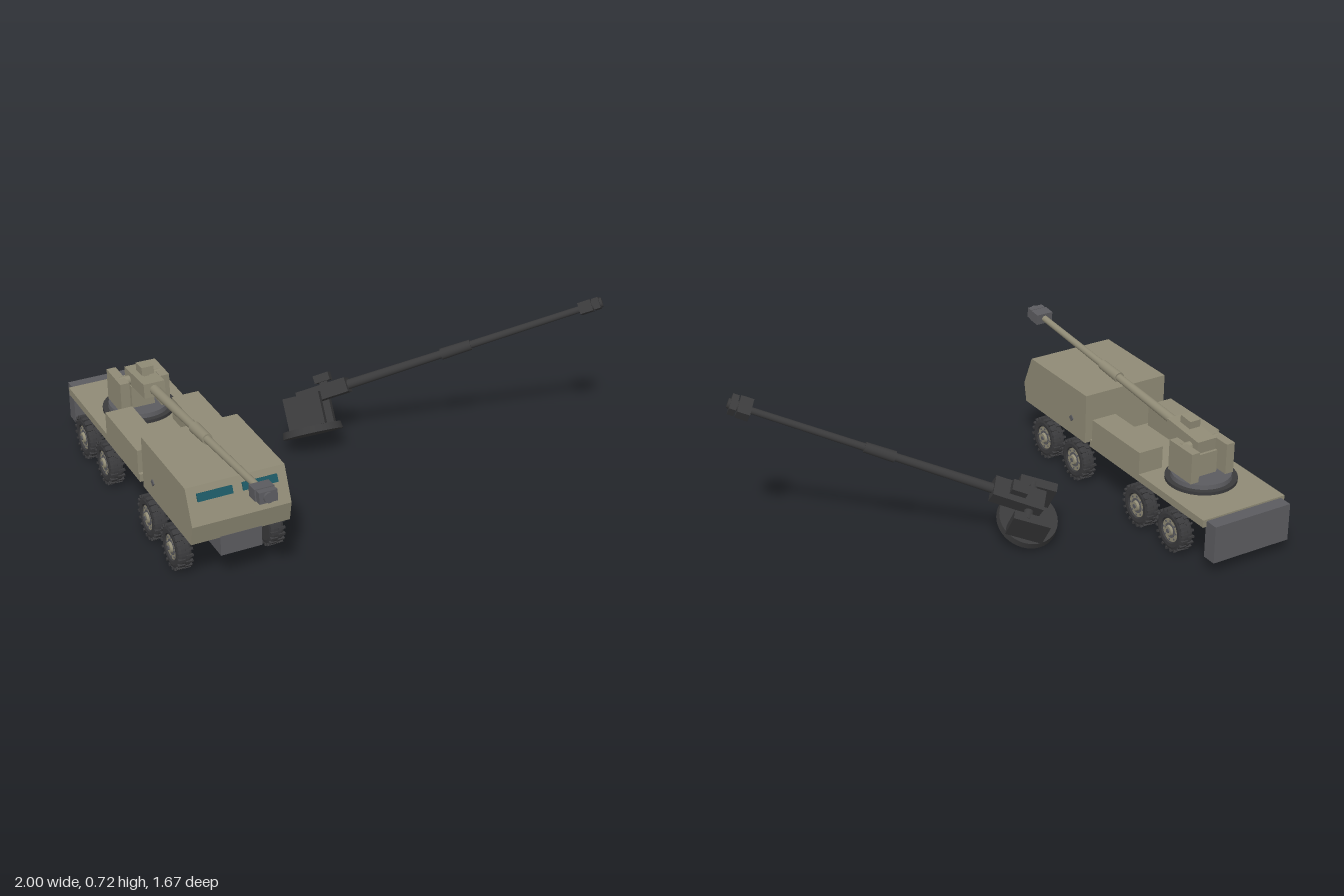
import * as THREE from 'three';

const mat = (name, color) => Object.assign(new THREE.MeshStandardMaterial({ color }), { name });

export function createModel() {
  const khaki = mat('khaki paint', 0x908b76);
  const grey = mat('chassis grey', 0x5c5c60);
  const rubber = mat('tyre rubber', 0x3a3a3c);
  const burnt = mat('burnt metal', 0x3a3a3b);
  const glass = mat('window glass', 0x1c5863);

  const add = (parent, name, geo, material, x = 0, y = 0, z = 0) => {
    const m = new THREE.Mesh(geo, material);
    m.name = name;
    m.position.set(x, y, z);
    parent.add(m);
    return m;
  };
  const group = (parent, name, x = 0, y = 0, z = 0) => {
    const g = new THREE.Group();
    g.name = name;
    g.position.set(x, y, z);
    if (parent) parent.add(g);
    return g;
  };
  const box = (w, h, d) => new THREE.BoxGeometry(w, h, d);
  const disc = (r, h, r2 = r) => new THREE.CylinderGeometry(r2, r, h, 40);
  // Round bar along z from z0 to z1
  const bar = (r0, r1, z0, z1) =>
    new THREE.CylinderGeometry(r1, r0, z1 - z0, 20).rotateX(Math.PI / 2).translate(0, 0, (z0 + z1) / 2);

  // Gun turret, origin at the underside of its ring
  function turret(parent, name, body, ring, brake) {
    const t = group(parent, name);
    add(t, 'turretRing', disc(0.131, 0.03, 0.126), ring, 0, 0.015, 0);
    for (const s of [-1, 1]) add(t, 'cheek', box(0.04, 0.137, 0.158), body, s * 0.088, 0.098, 0.006);
    add(t, 'cradlePost', box(0.1, 0.1, 0.09), body, 0, 0.08, 0.01);
    const gun = group(t, 'gun', 0, 0.163, 0.085);
    gun.rotation.x = -0.08;
    add(gun, 'trunnion', new THREE.CylinderGeometry(0.02, 0.02, 0.18, 16).rotateZ(Math.PI / 2), body, 0, -0.01, -0.06);
    add(gun, 'breech', box(0.092, 0.062, 0.22), body);
    add(gun, 'sightStem', box(0.025, 0.02, 0.035), body, 0, 0.038, 0.012);
    add(gun, 'sight', box(0.052, 0.034, 0.068), body, 0, 0.06, 0.012);
    add(gun, 'rearBarrel', bar(0.021, 0.017, 0.1, 0.54), body);
    add(gun, 'boreEvacuator', bar(0.024, 0.022, 0.53, 0.66), body);
    add(gun, 'frontBarrel', bar(0.016, 0.014, 0.65, 1.16), body);
    add(gun, 'brakeRear', box(0.08, 0.048, 0.054), brake, 0, 0, 1.165);
    add(gun, 'brakeCore', bar(0.021, 0.021, 1.18, 1.235), brake);
    add(gun, 'brakeFront', box(0.074, 0.046, 0.028), brake, 0, 0, 1.211);
    return t;
  }

  // Wheel with its outer face toward +x
  const tyreProfile = [[0.0001, -0.03], [0.07, -0.03], [0.084, -0.026], [0.089, -0.016], [0.089, 0.016],
    [0.084, 0.026], [0.072, 0.03], [0.056, 0.029], [0.052, 0.018], [0.0001, 0.018]]
    .map(([r, h]) => new THREE.Vector2(r, h));
  function wheel(parent, side, z) {
    const w = group(parent, 'wheel', side * 0.194, 0.095, z);
    if (side < 0) w.rotation.y = Math.PI;
    const along = (g) => g.rotateZ(-Math.PI / 2);
    const tyre = new THREE.LatheGeometry(tyreProfile, 36).toNonIndexed();
    tyre.computeVertexNormals();
    add(w, 'tyre', along(tyre), rubber);
    add(w, 'rim', along(disc(0.051, 0.006)), khaki, 0.02);
    add(w, 'rimRecess', along(disc(0.033, 0.002)), grey, 0.0235);
    add(w, 'hub', along(disc(0.024, 0.012, 0.02)), khaki, 0.028);
    add(w, 'hubCap', along(disc(0.009, 0.006)), grey, 0.035);
    // Rim bolts
    for (let i = 0; i < 8; i++) {
      const a = (i / 8) * Math.PI * 2;
      add(w, 'bolt', box(0.004, 0.007, 0.007), grey, 0.024, 0.042 * Math.cos(a), 0.042 * Math.sin(a));
    }
    // Staggered tread lugs
    for (let i = 0; i < 40; i++) {
      const a = (i / 40) * Math.PI * 2;
      const lug = add(w, 'treadLug', box(0.03, 0.012, 0.009), rubber,
        i % 2 ? 0.016 : -0.016, 0.088 * Math.cos(a), 0.088 * Math.sin(a));
      lug.rotation.x = a;
    }
  }

  const root = group(null, 'gunTruckAndWreck');
  const truck = group(root, 'truck', -0.775);

  // Chassis, deck and stowage
  add(truck, 'chassis', box(0.172, 0.085, 1.34), grey, 0, 0.162, -0.11);
  add(truck, 'deck', box(0.41, 0.033, 0.82), khaki, 0, 0.2175, -0.37);
  add(truck, 'rearSpade', box(0.375, 0.167, 0.065), grey, 0, 0.1435, -0.8075);
  for (const s of [-1, 1]) {
    add(truck, 'sideLocker', box(0.118, 0.1, 0.352), khaki, s * 0.146, 0.284, -0.152);
    for (const z of [0.38, 0.14, -0.34, -0.58]) wheel(truck, s, z);
  }

  // Cab from its side profile
  const profile = [[0.077, 0.2], [0.558, 0.2], [0.576, 0.285], [0.517, 0.425], [0.077, 0.425]];
  const cabGeo = new THREE.ExtrudeGeometry(
    new THREE.Shape(profile.map(([z, y]) => new THREE.Vector2(z, y))), { depth: 0.41, bevelEnabled: false });
  cabGeo.translate(0, 0, -0.205).rotateY(-Math.PI / 2);
  add(truck, 'cab', cabGeo, khaki);
  for (const s of [-1, 1]) {
    const pane = add(truck, 'windscreen', box(0.145, 0.032, 0.009), glass, s * 0.093, 0.385, 0.537);
    pane.rotation.x = -Math.atan2(0.059, 0.14);
    const handle = add(truck, 'sideHatch', box(0.006, 0.022, 0.022), grey, s * 0.206, 0.275, 0.185);
    handle.rotation.x = Math.PI / 4;
  }

  // Mounted turret
  add(truck, 'baseRing', disc(0.152, 0.014), rubber, 0, 0.241, -0.485);
  turret(truck, 'turret', khaki, grey, grey).position.set(0, 0.237, -0.485);

  // Burnt turret lying tilted beside the truck
  const wreck = turret(root, 'wreckedTurret', burnt, burnt, burnt);
  const up = new THREE.Vector3(0.04, 0.83, -0.556).normalize();
  const right = new THREE.Vector3().crossVectors(up, new THREE.Vector3(0.814, 0.287, 0.5)).normalize();
  const forward = new THREE.Vector3().crossVectors(right, up);
  wreck.quaternion.setFromRotationMatrix(new THREE.Matrix4().makeBasis(right, up, forward));
  wreck.position.set(-0.108, 0.08, -0.19);

  return root;
}
